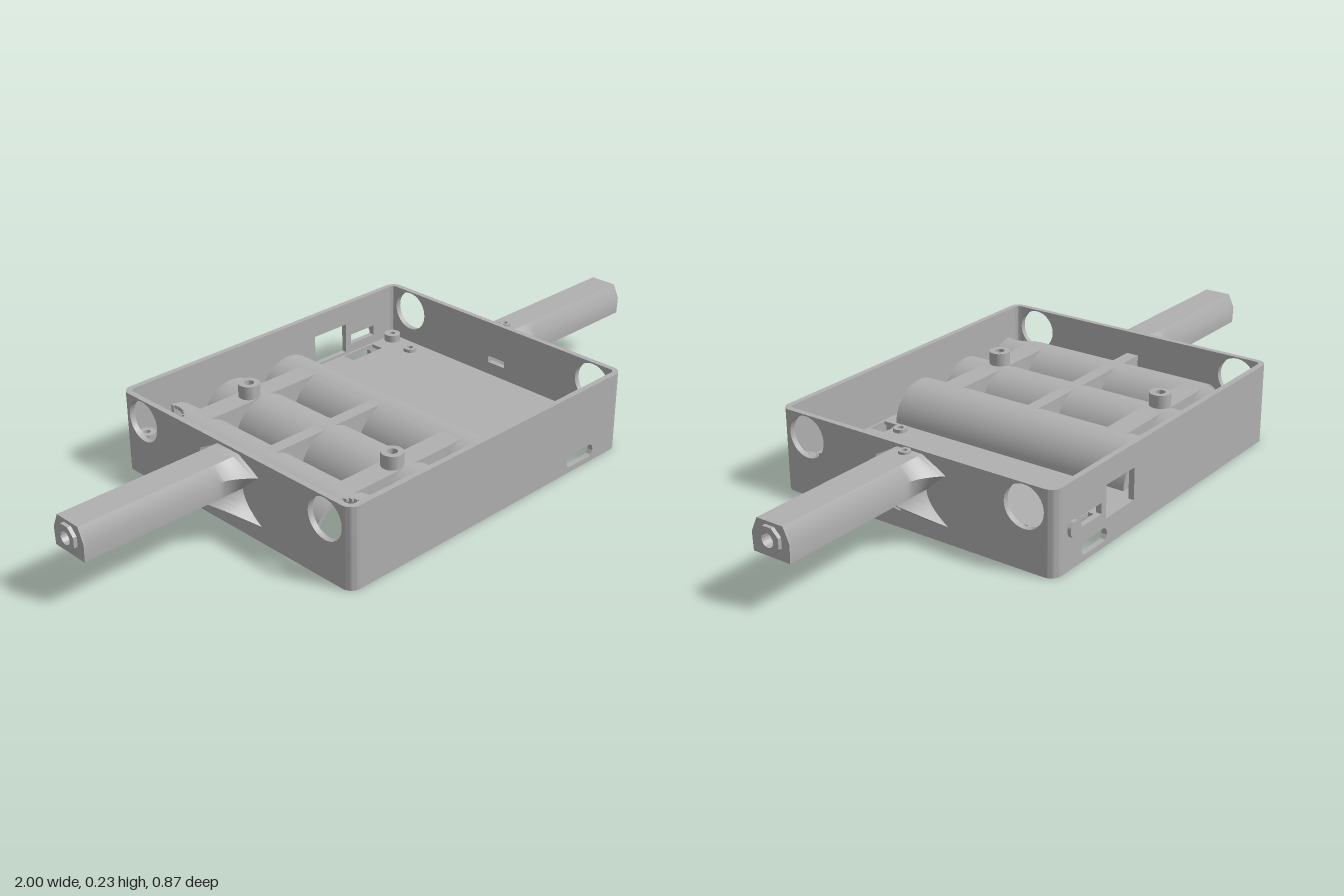
import * as THREE from 'three';
import { toCreasedNormals } from 'three/addons/utils/BufferGeometryUtils.js';

const W = 0.512, D = 0.432, H = 0.23, T = 0.016, R = 0.03; // half width, half depth, height, wall, corner
const CELLS = [-0.395, -0.185, 0.025], CY = 0.06, CR = 0.105, CL = 0.375; // cell troughs

export function createModel() {
  const root = new THREE.Group();
  const body = new THREE.Group();
  body.name = 'caseBody';
  body.position.z = 0.005;
  root.add(body);
  const grey = new THREE.MeshStandardMaterial({ color: 0xb0b0b0, side: THREE.DoubleSide });
  grey.name = 'plastic grey';

  const add = (name, geo, parent = body, x = 0, y = 0, z = 0) => {
    const m = new THREE.Mesh(toCreasedNormals(geo, 0.6), grey);
    m.name = name;
    m.position.set(x, y, z);
    parent.add(m);
    return m;
  };
  const poly = (pts) => new THREE.Shape(pts.map(([a, b]) => new THREE.Vector2(a, b)));
  const rect = (x0, y0, x1, y1) => poly([[x0, y0], [x1, y0], [x1, y1], [x0, y1]]);
  const disc = (x, y, r) => new THREE.Shape().absarc(x, y, r, 0, Math.PI * 2, false);
  const slot = (x, y, half, r) => {
    const s = new THREE.Shape();
    s.absarc(x + half - r, y, r, -Math.PI / 2, Math.PI / 2, false);
    s.absarc(x - half + r, y, r, Math.PI / 2, Math.PI * 1.5, false);
    return s;
  };
  const extrude = (shape, depth, holes = []) => {
    shape.holes.push(...holes);
    return new THREE.ExtrudeGeometry(shape, { depth, bevelEnabled: false, curveSegments: 16 });
  };
  // hollow post from a lathe profile
  const tube = (r, hole, h) => new THREE.LatheGeometry(
    [[hole, 0], [r, 0], [r, h], [hole, h], [hole, 0]].map(([a, b]) => new THREE.Vector2(a, b)), 24);
  // skin over closed rings of points, stacked along x
  const loft = (rings) => {
    const out = [];
    for (let j = 0; j < rings.length - 1; j++) {
      const n = rings[j].length;
      for (let i = 0; i < n; i++) {
        const k = (i + 1) % n;
        const a = rings[j][i], b = rings[j][k], c = rings[j + 1][k], d = rings[j + 1][i];
        out.push(...a, ...b, ...c, ...a, ...c, ...d);
      }
    }
    const g = new THREE.BufferGeometry();
    g.setAttribute('position', new THREE.Float32BufferAttribute(out, 3));
    return g;
  };

  // front and back walls
  const wx = W - R;
  add('frontWall', extrude(rect(-wx, 0, wx, H), T, [slot(0.345, 0.034, 0.055, 0.018)]), body, 0, 0, D - T);
  add('backWall', extrude(rect(-wx, 0, wx, H), T, [
    slot(0.345, 0.034, 0.055, 0.018), rect(0.17, 0.075, 0.295, 0.165), rect(0.315, 0.095, 0.41, 0.125),
  ]), body, 0, 0, -D);
  // side walls with round corner openings
  for (const s of [-1, 1]) {
    const holes = [disc(-0.344, 0.168, 0.058), disc(0.344, 0.168, 0.058)];
    if (s > 0) holes.push(rect(-0.03, 0.105, 0.03, 0.125));
    const g = extrude(rect(-D + R, 0, D - R, H), T, holes).rotateY(Math.PI / 2);
    add('sideWall', g, body, s > 0 ? W - T : -W);
  }
  // rounded corners and screw posts
  for (const sx of [-1, 1]) for (const sz of [-1, 1]) {
    const a0 = Math.atan2(sz, sx) - Math.PI / 4;
    const c = new THREE.Shape();
    c.absarc(0, 0, R, a0, a0 + Math.PI / 2, false);
    c.absarc(0, 0, R - T, a0 + Math.PI / 2, a0, true);
    add('wallCorner', extrude(c, H).rotateX(Math.PI / 2), body, sx * wx, H, sz * (D - R));
    add('cornerPost', tube(0.024, 0.009, sx > 0 ? 0.085 : 0.1), body, sx * 0.468, 0.004, sz * 0.392);
  }
  for (const z of [-0.4, 0.4]) add('midPost', tube(0.022, 0.009, 0.06), body, 0.11, 0, z);

  // flat electronics deck with cut-outs
  const screws = [[0.165, -0.3], [0.45, -0.3], [0.165, 0.33], [0.45, 0.33]];
  const plate = (shape, holes) => extrude(shape, 0.01, holes).rotateX(Math.PI / 2);
  add('deck', plate(rect(0.122, -D + T, W - T, D - T), [
    rect(0.14, 0.36, 0.2, 0.41), rect(0.405, 0.36, 0.47, 0.41), rect(0.28, -0.41, 0.4, -0.37),
    ...screws.map(([x, z]) => disc(x, z, 0.009)),
  ]), body, 0, 0.068, 0);
  for (const [x, z] of screws) add('deckScrewBoss', tube(0.02, 0.009, 0.016), body, x, 0.062, z);
  for (const s of [-1, 1]) {
    const z = s * (CL + D - T) / 2, h = (D - T - CL) / 2;
    add('endFloor', plate(rect(-0.42, z - h, 0.122, z + h)), body, 0, 0.068, 0);
  }

  // arched cell covers; the outer one is scooped away at the corner openings
  const arch = (cx, a1, z0, z1) => {
    const s = new THREE.Shape();
    s.absarc(cx, CY, CR, 0, a1, false);
    s.absarc(cx, CY, CR - 0.01, a1, 0, true);
    add('cellCover', extrude(s, z1 - z0), body, 0, 0, z0);
  };
  const scoop = (z) => Math.acos((-0.45 + Math.sqrt(Math.max(0, 0.0036 - (z - 0.35) ** 2)) - CELLS[0]) / CR);
  CELLS.forEach((cx, i) => {
    const cut = i === 0;
    arch(cx, Math.PI, cut ? -0.29 : -CL, cut ? 0.29 : CL);
    if (cut) {
      const n = 8, dz = (CL - 0.29) / n;
      for (let k = 0; k < n; k++) {
        const z = 0.29 + k * dz, a = scoop(z + dz / 2);
        arch(cx, a, z, z + dz);
        arch(cx, a, -z - dz, -z);
      }
    }
    const a1 = cut ? scoop(CL) : Math.PI;
    for (const s of [-1, 1]) {
      const cap = new THREE.Shape();
      cap.absarc(cx, CY, CR, 0, a1, false);
      cap.lineTo(cx + CR * Math.cos(a1), CY);
      add('cellEnd', extrude(cap, 0.01), body, 0, 0, s > 0 ? CL - 0.01 : -CL);
    }
  });

  // cross ribs filling the valleys between the cells
  const top = 1.4;
  for (const [z, w] of [[0, 0.037], [-0.27, 0.065], [0.27, 0.065]]) {
    for (let i = 0; i < 2; i++) {
      const s = new THREE.Shape();
      s.absarc(CELLS[i], CY, CR, top, 0, true);
      s.absarc(CELLS[i + 1], CY, CR, Math.PI, Math.PI - top, true);
      add('crossRib', extrude(s, w), body, 0, 0, z - w / 2);
    }
  }
  const side = new THREE.Shape();
  side.moveTo(-0.497, CY + CR * Math.sin(top));
  side.lineTo(-0.497, CY);
  side.absarc(CELLS[0], CY, CR, Math.PI, Math.PI - top, true);
  add('crossRib', extrude(side, 0.037), body, 0, 0, -0.0185);
  for (const z of [-0.27, 0.27]) add('screwBoss', tube(0.03, 0.014, 0.055), body, -0.21, 0.147, z);

  // push button on the back
  add('button', new THREE.CylinderGeometry(0.022, 0.022, 0.014, 24).rotateX(Math.PI / 2), body, 0.438, 0.108, -D - 0.003);

  // handle arms: hollow channel, flared root, gussets, lattice and tip
  const section = (f, t) => {
    const wm = 0.058 - t + 0.057 * f * f, w = 0.056 - t, y = 0.222 - t;
    return [[-w, 0.134], [-wm, 0.182], [-0.04 + t * 0.5, y], [0.04 - t * 0.5, y], [wm, 0.182], [w, 0.134]];
  };
  const ring = (x, f) => [...section(f, 0), ...section(f, 0.013).reverse()].map(([z, y]) => [x, y, z]);
  const makeArm = () => {
    const arm = new THREE.Group();
    arm.name = 'handleArm';
    const rings = [];
    for (let i = 0; i <= 10; i++) rings.push(ring(W - 0.004 + 0.104 * i / 10, 1 - i / 10));
    rings.push(ring(0.985, 0));
    add('armChannel', loft(rings), arm);
    add('armEnd', extrude(poly(section(0, 0)), 0.015, [disc(0, 0.18, 0.018)]).rotateY(Math.PI / 2), arm, 0.975);
    const oct = [...Array(8)].map((_, i) => {
      const a = (i + 0.5) * Math.PI / 4;
      return [0.036 * Math.cos(a), 0.18 + 0.036 * Math.sin(a)];
    });
    add('armTip', extrude(poly(oct), 0.012, [disc(0, 0.18, 0.018)]).rotateY(Math.PI / 2), arm, 0.988);
    for (const s of [-1, 1]) {
      const stations = [];
      for (let j = 0; j <= 8; j++) {
        const t = j / 8, x = W - 0.002 + 0.12 * t, yb = 0.045 + 0.089 * t;
        const pts = [[x, yb, s * 0.035], [x, 0.14, s * 0.035]];
        for (let i = 0; i <= 8; i++) {
          const y = 0.137 + (yb - 0.137) * i / 8;
          pts.push([x, y, s * (0.05 + 0.068 * Math.max(0, (0.134 - y) / 0.089) ** 2)]);
        }
        stations.push(s > 0 ? pts : pts.reverse());
      }
      add('armGusset', loft(stations), arm);
    }
    const n = 6, step = 0.35 / n, len = Math.hypot(step, 0.09);
    for (let i = 0; i < n; i++) for (const s of [-1, 1]) {
      const bar = add('latticeBar', new THREE.BoxGeometry(len, 0.014, 0.01), arm, 0.625 + (i + 0.5) * step, 0.143, 0);
      bar.rotation.y = s * Math.atan2(0.09, step);
    }
    body.add(arm);
    return arm;
  };
  makeArm();
  makeArm().rotation.y = Math.PI;
  add('armTab', tube(0.016, 0.007, 0.012), body, 0.53, 0.217, 0);

  return root;
}
